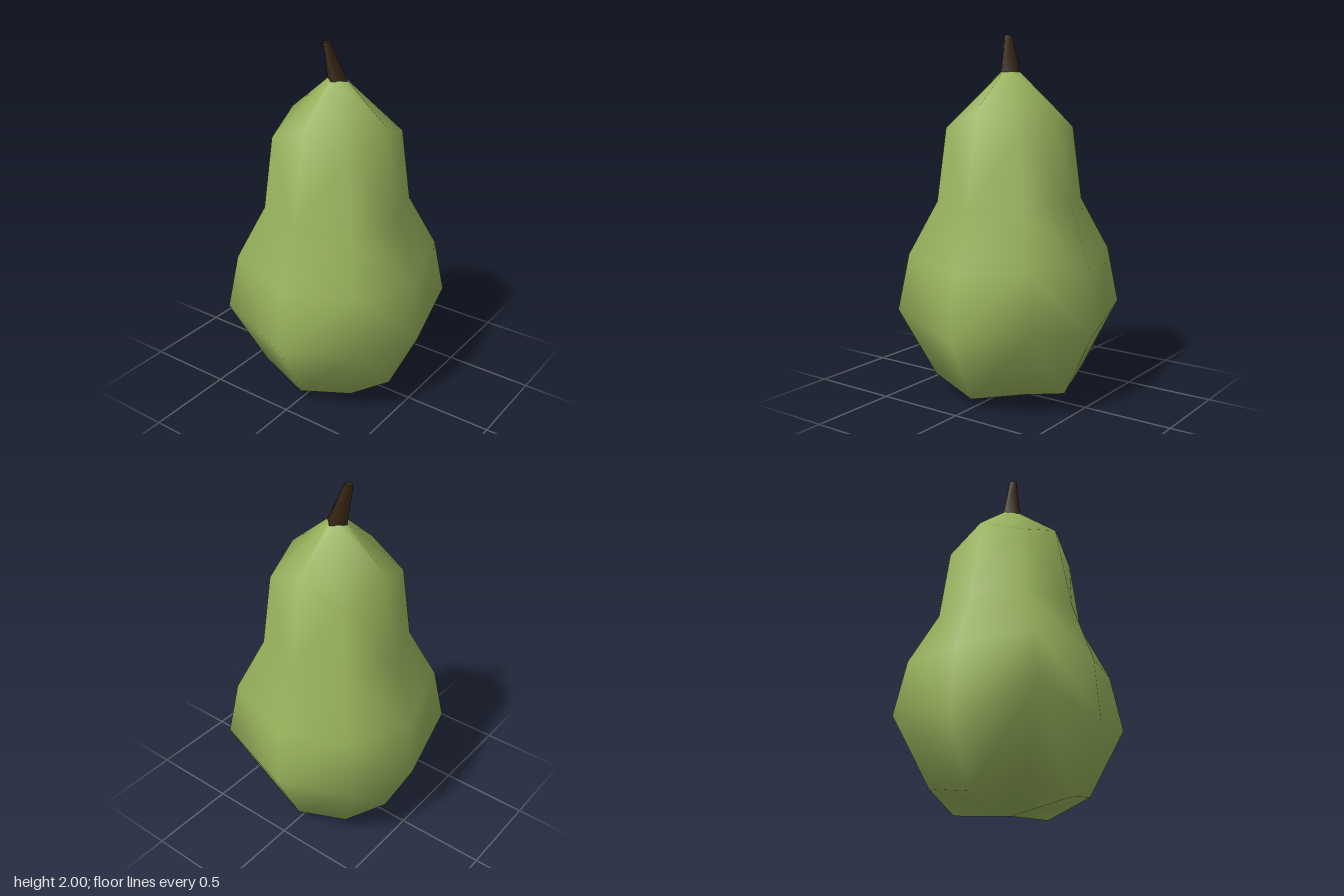
import * as THREE from 'three';

const skin = new THREE.MeshStandardMaterial({ color: 0x98b35c });
skin.name = 'pear green';
const bark = new THREE.MeshStandardMaterial({ color: 0x35240f });
bark.name = 'stem brown';

// Rings from bottom to top: [side radius, side height, corner offset in x and z, corner height]
const RINGS = [
  [0.365, 0.05, 0.30, 0.12],
  [0.54, 0.41, 0.445, 0.50],
  [0.515, 0.75, 0.40, 0.81],
  [0.395, 1.10, 0.287, 1.10],
  [0.305, 1.60, 0.25, 1.50],
  [0.065, 1.80, 0.0325, 1.80],
];
const SIDES = 8;

// Squarish eight-sided body lofted through the rings and closed to a point below
function bodyGeometry() {
  const positions = [0, 0, 0];
  const indices = [];
  for (const [side, sideY, corner, cornerY] of RINGS) {
    for (let i = 0; i < SIDES; i++) {
      const isCorner = i % 2 === 1;
      const radius = isCorner ? corner * Math.SQRT2 : side;
      const angle = (i / SIDES) * Math.PI * 2;
      positions.push(Math.sin(angle) * radius, isCorner ? cornerY : sideY, Math.cos(angle) * radius);
    }
  }
  for (let i = 0; i < SIDES; i++) {
    const next = (i + 1) % SIDES;
    indices.push(0, 1 + next, 1 + i);
    for (let r = 0; r < RINGS.length - 1; r++) {
      const a = 1 + r * SIDES + i;
      const b = 1 + r * SIDES + next;
      const c = b + SIDES;
      const d = a + SIDES;
      // Diagonals mirror about every side and corner
      if (i % 2) indices.push(a, b, d, b, c, d);
      else indices.push(a, b, c, a, c, d);
    }
  }
  const geometry = new THREE.BufferGeometry();
  geometry.setAttribute('position', new THREE.Float32BufferAttribute(positions, 3));
  geometry.setIndex(indices);
  geometry.computeVertexNormals();
  return geometry;
}

// Four-sided tapered stem, sheared so its tip leans to the front right
function stemGeometry() {
  const geometry = new THREE.CylinderGeometry(0.027, 0.065, 0.2, 4);
  geometry.translate(0, 0.1, 0);
  const p = geometry.attributes.position;
  for (let i = 0; i < p.count; i++) {
    const lean = (p.getY(i) / 0.2) * 0.042;
    p.setX(i, p.getX(i) - lean);
    p.setZ(i, p.getZ(i) + lean);
  }
  return geometry;
}

export function createModel() {
  const group = new THREE.Group();
  group.name = 'pear';

  const body = new THREE.Mesh(bodyGeometry(), skin);
  body.name = 'body';
  group.add(body);

  const stem = new THREE.Mesh(stemGeometry(), bark);
  stem.name = 'stem';
  stem.position.y = 1.8;
  group.add(stem);

  return group;
}
